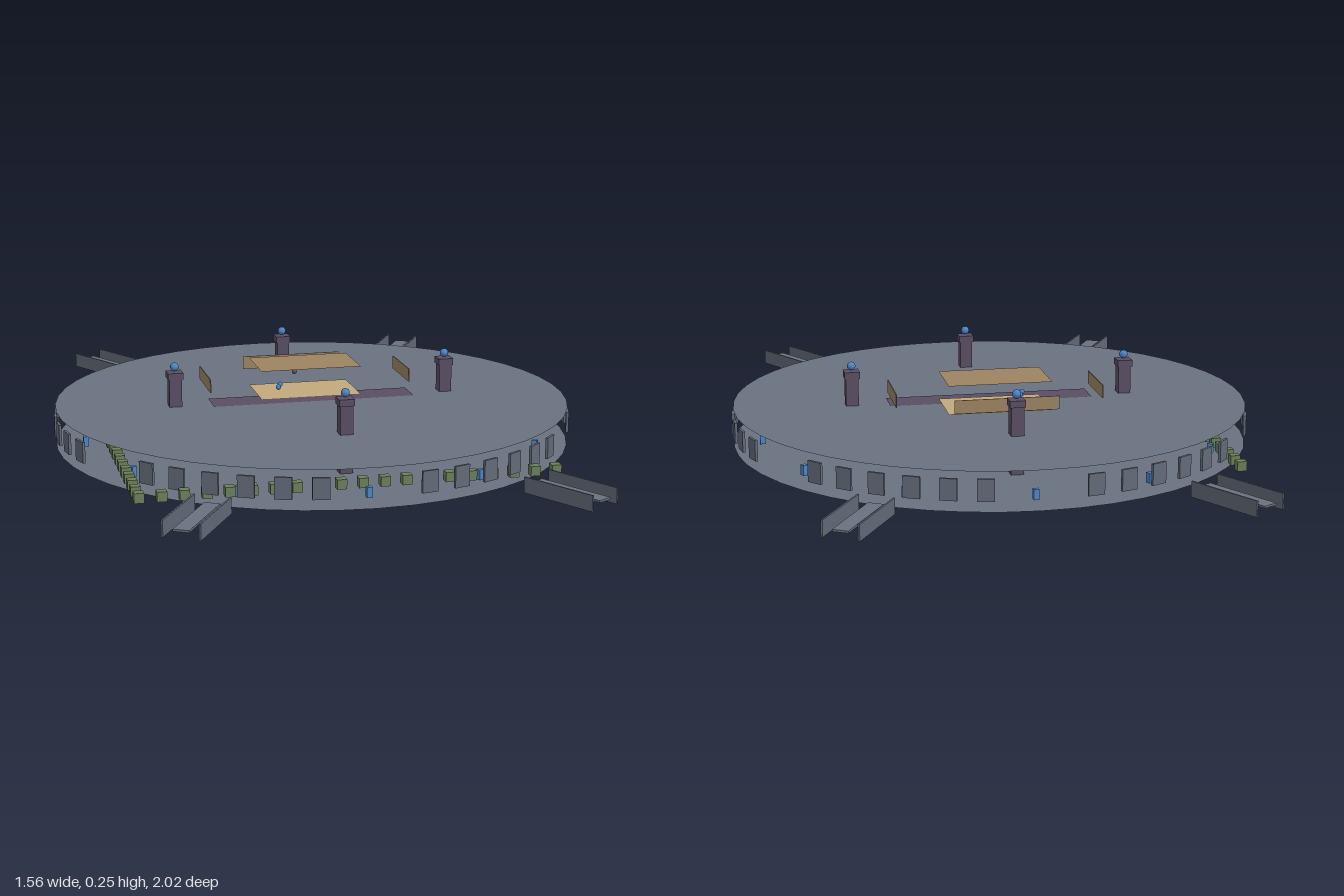
import * as THREE from 'three';

const mat = (name, color, double = false) => {
  const m = new THREE.MeshStandardMaterial({ color });
  m.name = name;
  if (double) m.side = THREE.DoubleSide;
  return m;
};

export function createModel() {
  const root = new THREE.Group();
  root.name = 'arena';
  const stone = mat('stone', 0x6b7280, true);
  const wall = mat('wall stone', 0x636a78);
  const purple = mat('dark purple', 0x5a4e64, true);
  const darkTan = mat('dark tan', 0x9c8462, true);
  const tan = mat('light tan', 0xc2a97c, true);
  const green = mat('lawn green', 0x4a5d40, true);
  const hedge = mat('hedge green', 0x6a8058);
  const blue = mat('lamp blue', 0x4a86cc);

  const add = (name, geo, m, x = 0, y = 0, z = 0, parent = root) => {
    const mesh = new THREE.Mesh(geo, m);
    mesh.name = name;
    mesh.position.set(x, y, z);
    parent.add(mesh);
    return mesh;
  };
  const box = (name, w, h, d, m, x, y, z, parent) =>
    add(name, new THREE.BoxGeometry(w, h, d), m, x, y, z, parent);
  const flat = (name, geo, m, x, y, z) => add(name, geo.rotateX(-Math.PI / 2), m, x, y, z);
  const plate = (name, w, d, m, x, y, z) => flat(name, new THREE.PlaneGeometry(w, d), m, x, y, z);
  // a group turned outwards at a compass angle, +z being zero
  const spoke = (name, degrees) => {
    const g = new THREE.Group();
    g.name = name;
    g.rotation.y = THREE.MathUtils.degToRad(degrees);
    root.add(g);
    return g;
  };

  // two open discs, ground and upper deck
  flat('groundDisc', new THREE.CircleGeometry(0.775, 48), stone, 0, 0.004, 0);
  flat('upperDisc', new THREE.CircleGeometry(0.775, 48), stone, 0, 0.118, 0);

  // ground inlays
  for (let i = 0; i < 4; i++) {
    flat('groundPatch', new THREE.RingGeometry(0.3, 0.56, 12, 1, i * Math.PI / 2 - 0.5, 1.0), purple, 0, 0.002, 0);
  }
  plate('lawn', 0.63, 0.68, green, 0, 0.001, 0);
  plate('lowerStrip', 0.5, 0.07, purple, 0, 0.0005, 0);
  plate('lowerFloor', 0.18, 0.07, tan, -0.07, 0, -0.07);

  // deck inlays
  plate('deckStrip', 0.62, 0.1, purple, 0, 0.12, 0);
  plate('deckFloor', 0.31, 0.19, tan, 0, 0.122, -0.093);

  // floating canopy and hanging panels
  plate('canopy', 0.31, 0.19, darkTan, 0, 0.208, -0.093);
  box('backPanel', 0.31, 0.04, 0.003, darkTan, 0, 0.17, -0.285);
  for (const s of [-1, 1]) box('sidePanel', 0.003, 0.04, 0.185, darkTan, s * 0.31, 0.17, -0.095);

  // small floating orbs
  const orb = r => new THREE.SphereGeometry(r, 10, 8);
  add('smallOrb', orb(0.008), blue, -0.093, 0.145, -0.045);
  add('smallOrb', orb(0.008), blue, -0.08, 0.145, -0.08);
  add('darkOrb', orb(0.008), purple, 0, 0.145, -0.235);

  // rim blocks in six groups of six with gates between
  for (let i = 0; i < 48; i++) {
    if (i % 8 === 0 || i % 8 === 7) continue;
    box('rimBlock', 0.048, 0.062, 0.008, wall, 0, 0.066, 0.775, spoke('rimSegment', (i + 0.5) * 7.5));
  }

  // lamps inside the rim and the inner ring of blocks
  for (let i = 0; i < 12; i++) {
    box('lamp', 0.016, 0.03, 0.016, blue, 0, 0.025, 0.69, spoke('lampSpoke', i * 30));
  }
  for (let i = 0; i < 24; i++) {
    box('innerBlock', 0.045, 0.07, 0.01, purple, 0, 0.06, 0.37, spoke('innerSegment', (i + 0.5) * 15));
  }

  // central podium under the deck
  box('podium', 0.26, 0.04, 0.1, tan, 0, 0.04, 0);
  box('podiumLight', 0.08, 0.012, 0.02, blue, 0, 0.105, 0);

  // four towers
  for (let i = 0; i < 4; i++) {
    const t = spoke('tower', i * 90);
    box('towerShaft', 0.038, 0.22, 0.038, purple, 0, 0.11, 0.42, t);
    box('towerCap', 0.046, 0.02, 0.046, purple, 0, 0.212, 0.42, t);
    add('towerOrb', orb(0.013), blue, 0, 0.237, 0.42, t);
  }

  // four outer passages
  for (const a of [30, 150, 210, 330]) {
    const p = spoke('passage', a);
    box('passageFloor', 0.045, 0.006, 0.235, stone, 0, 0.05, 1.015, p);
    for (const s of [-1, 1]) box('passageWall', 0.005, 0.045, 0.235, wall, s * 0.051, 0.051, 1.015, p);
  }

  // hedge cubes along two edges
  for (let i = 0; i < 20; i++) {
    const c = 0.622 - i * 0.0622;
    box('hedge', 0.028, 0.028, 0.028, hedge, -0.622, 0.034, c);
    if (i > 0) box('hedge', 0.028, 0.028, 0.028, hedge, -c, 0.034, 0.622);
  }
  return root;
}
